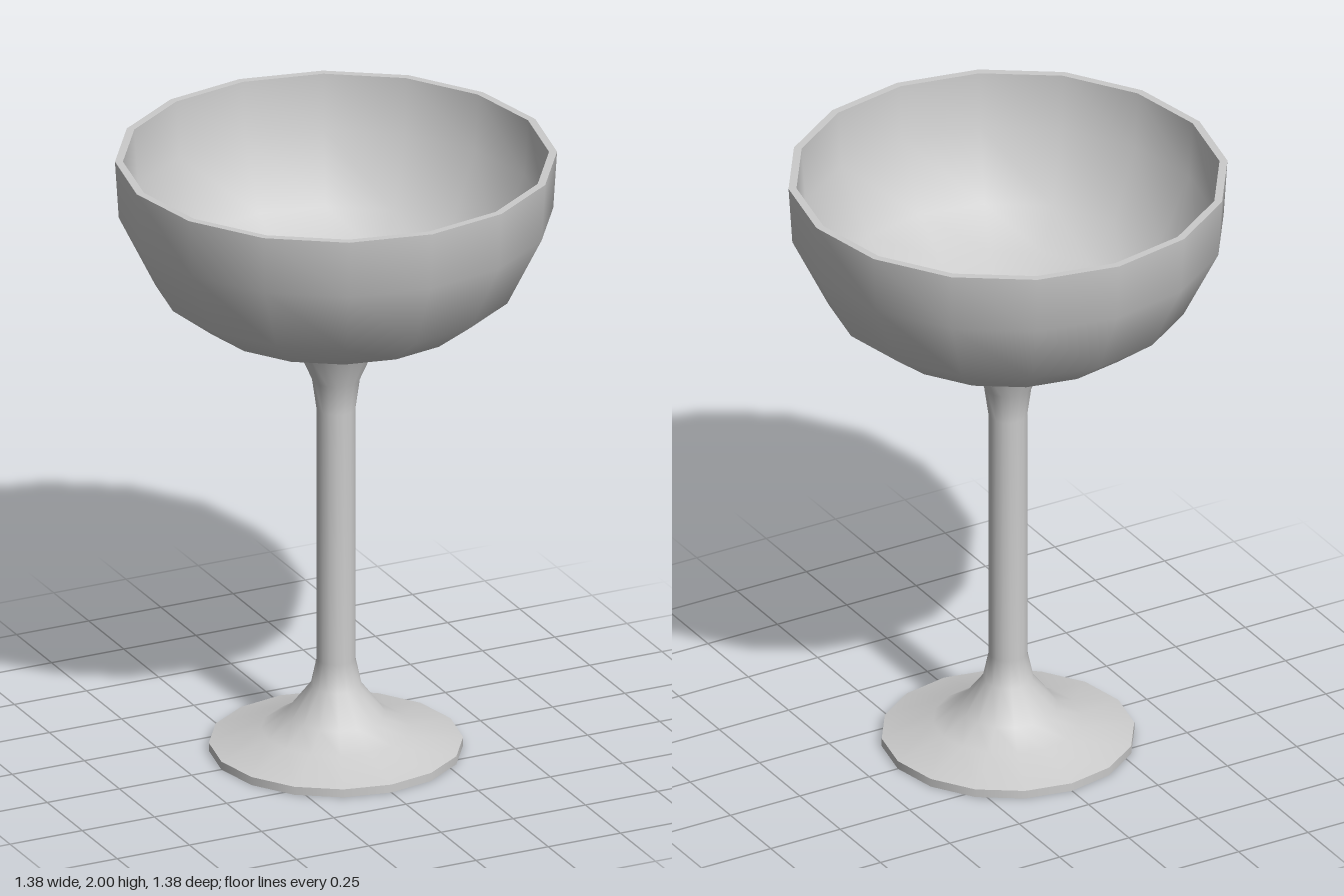
import * as THREE from 'three';

const SIDES = 16;
const material = new THREE.MeshStandardMaterial({ color: 0xcccccc });

// One smooth band of the turned profile; separate bands keep the edges between them sharp.
function turned(name, profile) {
  const points = profile.map(([r, y]) => new THREE.Vector2(r, y));
  const mesh = new THREE.Mesh(new THREE.LatheGeometry(points, SIDES), material);
  mesh.name = name;
  return mesh;
}

export function createModel() {
  const glass = new THREE.Group();
  glass.name = 'stemmedGlass';

  // Foot: flat underside and upright edge
  const foot = new THREE.Group();
  foot.name = 'foot';
  foot.add(
    turned('footUnderside', [[0, 0], [0.397, 0]]),
    turned('footEdge', [[0.397, 0], [0.397, 0.027]])
  );

  // Stem, flaring into the foot and the bowl
  const stem = turned('stem', [
    [0.397, 0.027], [0.235, 0.07], [0.155, 0.12], [0.08, 0.217], [0.061, 0.305],
    [0.061, 1.15], [0.075, 1.25], [0.122, 1.357],
  ]);

  // Bowl: outer wall, flat rim and hollow inside
  const bowl = new THREE.Group();
  bowl.name = 'bowl';
  bowl.add(
    turned('bowlOutside', [[0.122, 1.357], [0.43, 1.478], [0.565, 1.582], [0.678, 1.81], [0.69, 2]]),
    turned('rim', [[0.69, 2], [0.665, 2]]),
    turned('bowlInside', [[0.665, 2], [0.653, 1.815], [0.546, 1.6], [0.418, 1.502], [0.12, 1.385], [0, 1.38]])
  );

  glass.add(foot, stem, bowl);
  return glass;
}
